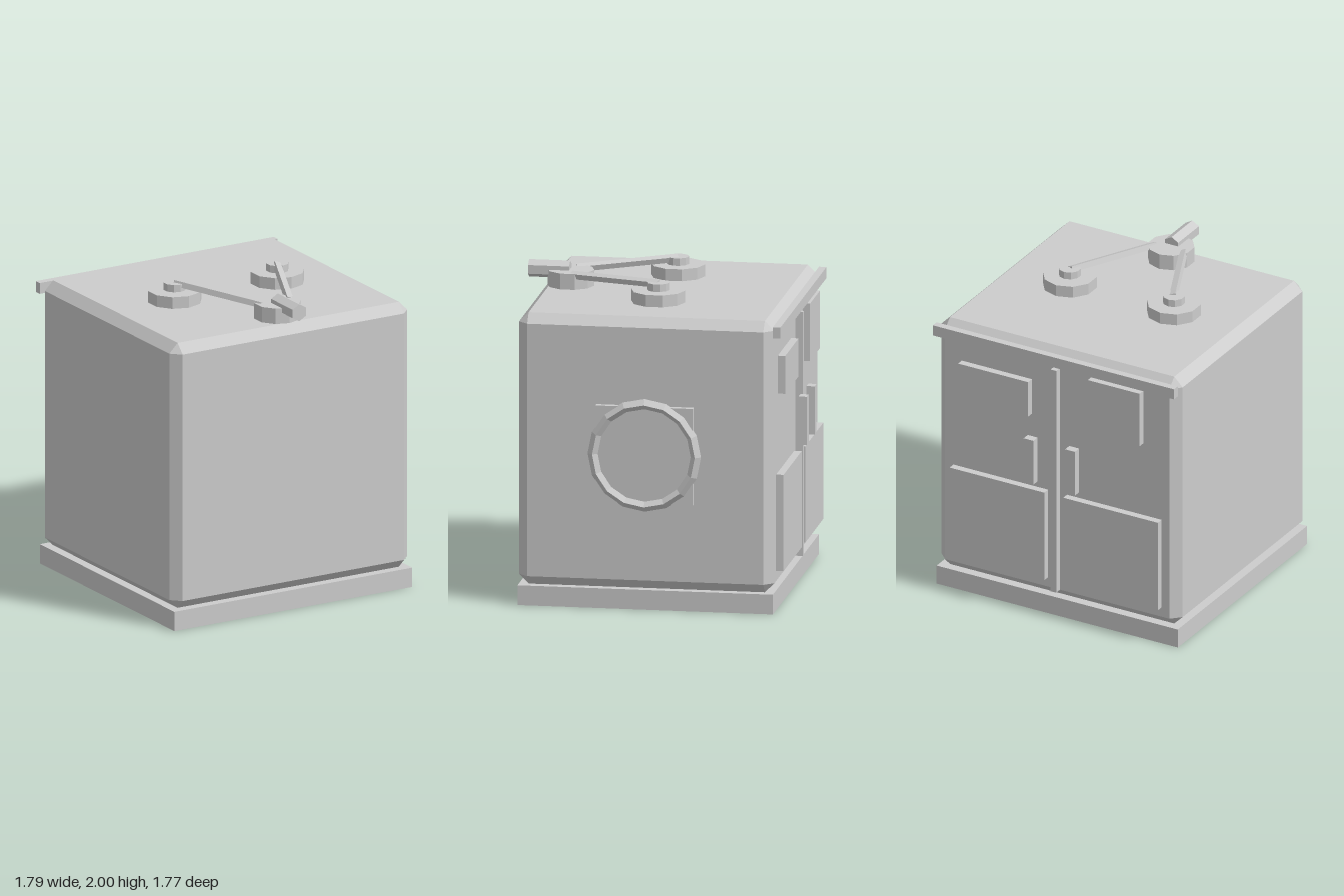
import * as THREE from 'three';
import { ConvexGeometry } from 'three/addons/geometries/ConvexGeometry.js';

const paint = new THREE.MeshStandardMaterial({ color: 0xcccccc });
paint.name = 'grey metal';

export function createModel() {
  const model = new THREE.Group();
  model.name = 'cabinet';
  // everything is laid out about the cabinet's own centre line
  const body = new THREE.Group();
  body.name = 'cabinetBody';
  body.position.set(-0.037, 0, 0.011);
  model.add(body);

  // adds a faceted mesh
  const add = (name, geometry, x, y, z) => {
    const flat = geometry.index ? geometry.toNonIndexed() : geometry;
    flat.computeVertexNormals();
    const mesh = new THREE.Mesh(flat, paint);
    mesh.name = name;
    mesh.position.set(x, y, z);
    body.add(mesh);
    return mesh;
  };
  // box given by its limits
  const box = (name, x0, x1, y0, y1, z0, z1) =>
    add(name, new THREE.BoxGeometry(x1 - x0, y1 - y0, z1 - z0),
      (x0 + x1) / 2, (y0 + y1) / 2, (z0 + z1) / 2);
  // upright cylinder standing between two heights
  const disc = (name, r, sides, x, y0, y1, z) =>
    add(name, new THREE.CylinderGeometry(r, r, y1 - y0, sides), x, (y0 + y1) / 2, z);

  const W = 0.86, D = 0.801, BASE = 0.125, TOP = 1.845;

  // base slab
  box('base', -W, W, 0, BASE, -D, D);

  // main housing with all edges chamfered
  const H = (TOP - BASE) / 2, c = 0.06, corners = [];
  for (const sx of [-1, 1]) for (const sy of [-1, 1]) for (const sz of [-1, 1]) {
    corners.push(
      new THREE.Vector3(sx * W, sy * (H - c), sz * (D - c)),
      new THREE.Vector3(sx * (W - c), sy * H, sz * (D - c)),
      new THREE.Vector3(sx * (W - c), sy * (H - c), sz * D));
  }
  add('housing', new ConvexGeometry(corners), 0, BASE + H, 0);

  // porthole on the side: square plate and faceted ring
  box('portholePlate', W, W + 0.037, 0.68, 1.292, -0.307, 0.307);
  const ring = add('portholeRing', new THREE.TorusGeometry(0.323, 0.034, 4, 16), W + 0.033, 0.986, 0);
  ring.rotation.y = Math.PI / 2;

  // back doors: rain strip, centre seam, panels and handles
  const back = -D - 0.047;
  box('rainStrip', -W, W, 1.75, 1.82, back, -D);
  box('doorSeam', -0.02, 0.02, 0.185, 1.73, back, -D);
  box('upperPanelLeft', 0.18, 0.68, 1.36, 1.6, back, -D);
  box('upperPanelRight', -0.615, -0.245, 1.36, 1.725, back, -D);
  for (const s of [-1, 1]) {
    const [a, b] = s > 0 ? [0.065, 0.74] : [-0.745, -0.07];
    box('lowerPanel', a, b, 0.25, 0.86, back, -D);
    const h = s * 0.148;
    box('doorHandle', h - 0.035, h + 0.035, 0.927, 1.232, back - 0.052, back);
  }

  // roof: two pivots with arms leading to the front mount
  for (const s of [-1, 1]) {
    disc('pivotBase', 0.17, 10, s * 0.371, TOP, 1.92, 0);
    disc('pivotCap', 0.07, 10, s * 0.371, 1.92, 1.967, 0);
    const from = new THREE.Vector3(s * 0.367, 1.957, 0);
    const to = new THREE.Vector3(s * 0.1, 1.931, 0.59);
    const mid = from.clone().add(to).multiplyScalar(0.5);
    const arm = add('arm', new THREE.BoxGeometry(0.04, 0.036, from.distanceTo(to)), mid.x, mid.y, mid.z);
    arm.lookAt(to.add(body.position));
    arm.rotateZ(-0.35);
  }
  disc('mountBase', 0.147, 10, 0, TOP, 1.945, 0.611);
  const nozzle = add('mountBar', new THREE.CylinderGeometry(0.055, 0.055, 0.257, 6), 0, 1.943, 0.744);
  nozzle.rotation.x = Math.PI / 2;

  return model;
}
